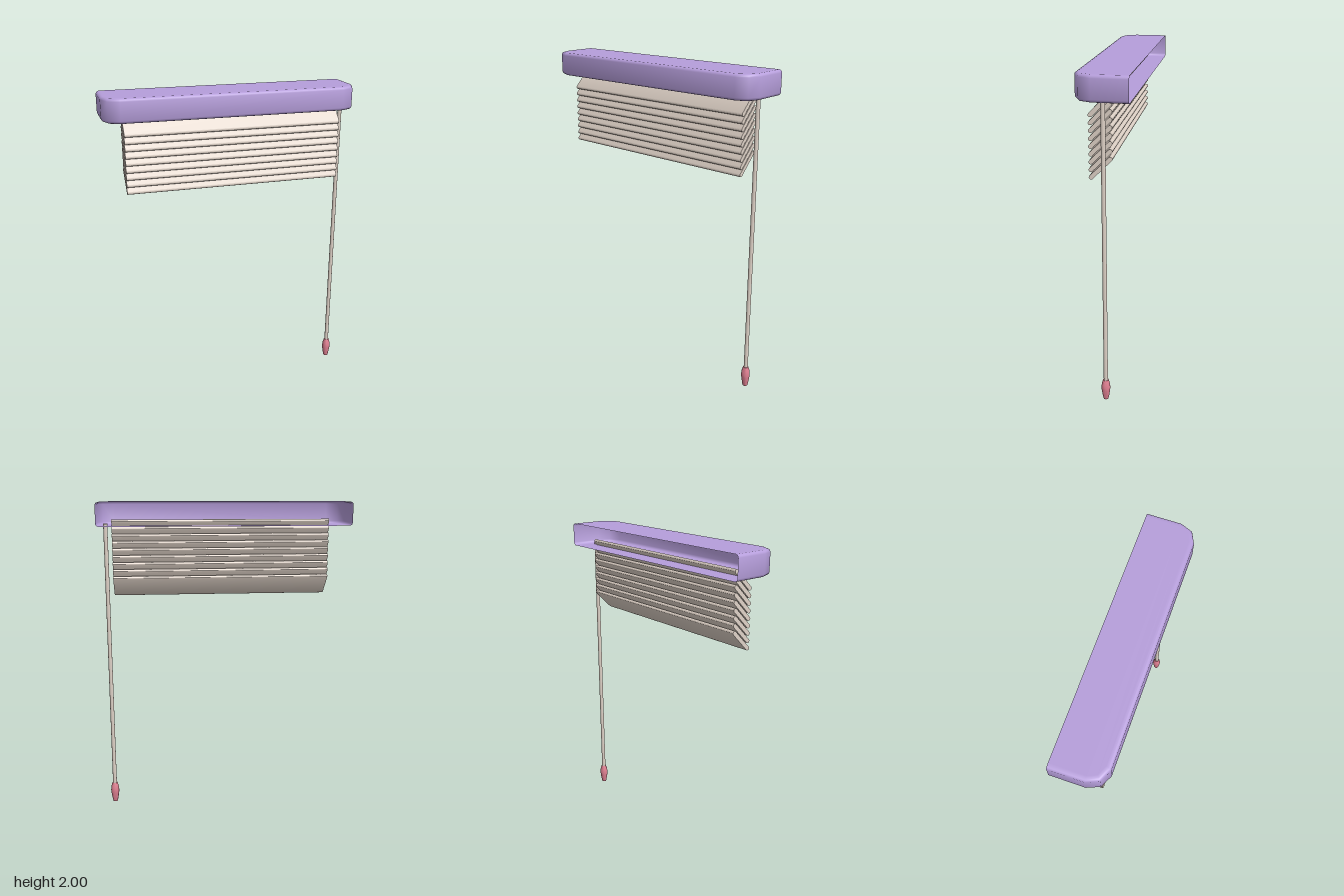
import * as THREE from 'three';
import { toCreasedNormals } from 'three/addons/utils/BufferGeometryUtils.js';

const material = (name, color, side = THREE.FrontSide) => {
  const m = new THREE.MeshStandardMaterial({ color, side });
  m.name = name;
  return m;
};

// Headbox plan outline, shrunk by d, from back left to back right
function outline(d) {
  const half = [[0.795 - d, -0.155], [0.795 - d, 0.05], [0.765 - 0.8 * d, 0.122 - 0.7 * d], [0.695 - 0.3 * d, 0.155 - d]];
  return [...half, ...half.map(([x, z]) => [-x, z]).reverse()];
}

// Thin shell with softened edges, open at the back
function headboxGeometry() {
  const bevel = [[0.03, 0], [0.018, 0], [0.009, 0.003], [0.003, 0.009], [0, 0.018]]; // inset, height
  const layers = [
    ...bevel.map(([d, h]) => [d, 1.853 + h]),
    ...bevel.map(([d, h]) => [d, 2 - h]).reverse(),
  ];
  const positions = [], index = [], n = 8;
  for (const [d, y] of layers) for (const [x, z] of outline(d)) positions.push(x, y, z);
  for (let l = 0; l < layers.length - 1; l++) {
    for (let i = 0; i < n - 1; i++) {
      const a = l * n + i, b = a + 1, c = a + n, e = c + 1;
      index.push(a, c, b, b, c, e);
    }
  }
  // Bottom and top panels as strips between mirrored outline points
  const top = (layers.length - 1) * n;
  for (let i = 0; i < 3; i++) {
    const a = i, b = i + 1, c = n - 2 - i, d = n - 1 - i;
    index.push(a, b, c, a, c, d);
    index.push(top + a, top + c, top + b, top + a, top + d, top + c);
  }
  const g = new THREE.BufferGeometry();
  g.setAttribute('position', new THREE.Float32BufferAttribute(positions, 3));
  g.setIndex(index);
  return toCreasedNormals(g, 0.85);
}

// Tilted slat with rounded long edges, running along x
function slatGeometry(length) {
  const r = 0.0125, tilt = Math.PI / 4;
  const shape = new THREE.Shape();
  shape.absarc(0.036, 0.11, r, tilt - Math.PI / 2, tilt + Math.PI / 2, false);
  shape.absarc(-0.073, 0, r, tilt + Math.PI / 2, tilt + Math.PI * 1.5, false);
  shape.closePath();
  const g = new THREE.ExtrudeGeometry(shape, { depth: length, bevelEnabled: false, curveSegments: 8 });
  g.rotateY(Math.PI / 2);
  return toCreasedNormals(g, 0.7);
}

export function createModel() {
  const purple = material('lilac', 0xb69edb, THREE.DoubleSide);
  const cream = material('cream', 0xdfd2c7);
  const pink = material('pink', 0xe08092);

  const model = new THREE.Group();
  model.name = 'windowBlind';
  const add = (name, geometry, mat, parent = model) => {
    const mesh = new THREE.Mesh(geometry, mat);
    mesh.name = name;
    parent.add(mesh);
    return mesh;
  };

  add('headbox', headboxGeometry(), purple);

  // Stack of slats
  const slats = new THREE.Group();
  slats.name = 'slats';
  model.add(slats);
  const slat = slatGeometry(1.375);
  for (let i = 0; i < 9; i++) {
    add('slat' + (i + 1), slat, cream, slats).position.set(-0.67, 1.416 + i * 0.0441, 0);
  }

  // Tilt wand with its grip
  const wand = new THREE.Group();
  wand.name = 'wand';
  wand.position.set(0.745, 0, -0.006);
  model.add(wand);
  add('wandRod', new THREE.CylinderGeometry(0.013, 0.013, 1.735, 16), cream, wand).position.y = 0.9975;
  const profile = [[0, 0], [0.015, 0], [0.018, 0.012], [0.026, 0.06], [0.0275, 0.08], [0.025, 0.105], [0.017, 0.133], [0, 0.133]]
    .map(([r, y]) => new THREE.Vector2(r, y));
  add('wandGrip', toCreasedNormals(new THREE.LatheGeometry(profile, 16), 0.7), pink, wand);

  return model;
}
